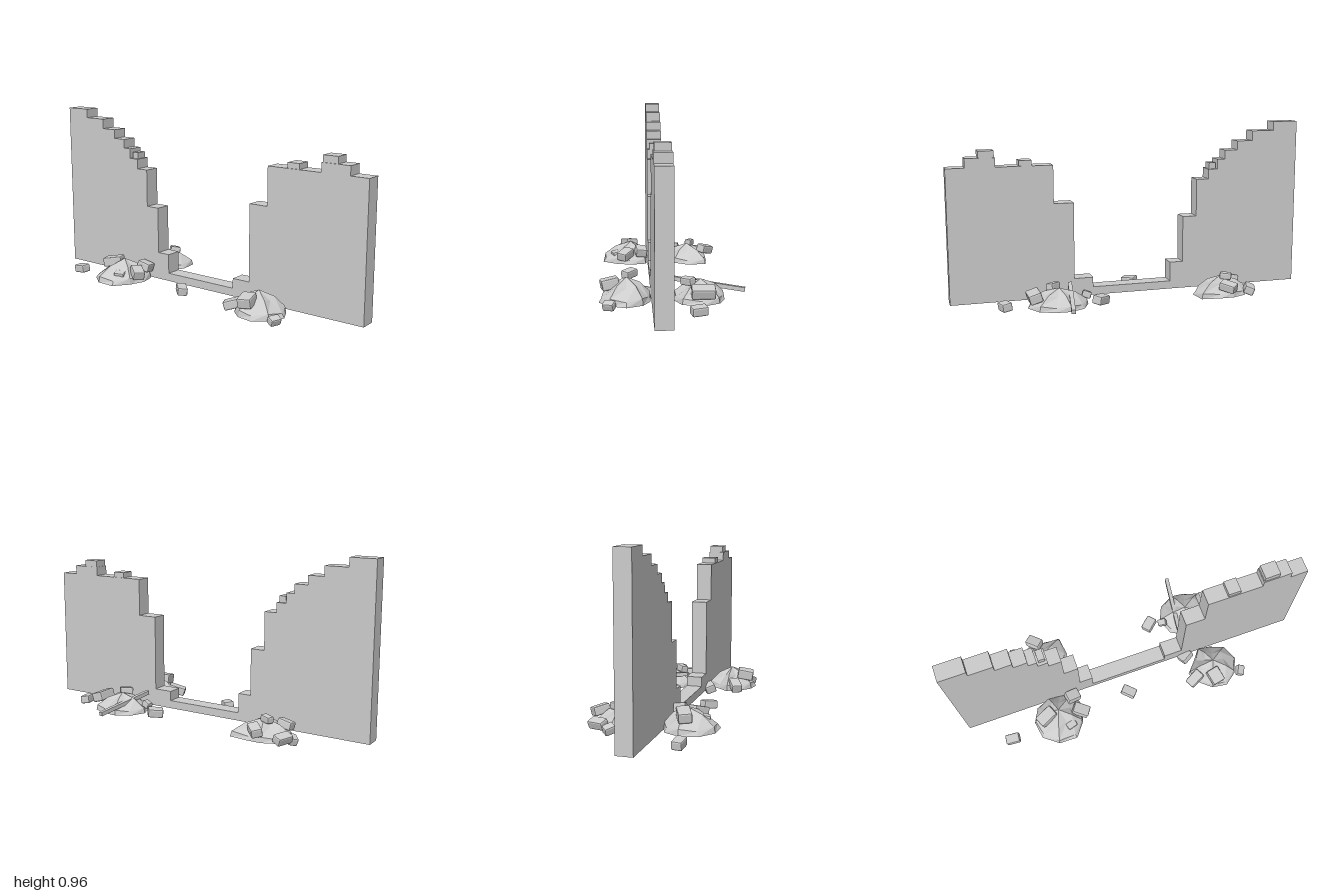
import * as THREE from 'three';
import { RoundedBoxGeometry } from 'three/addons/geometries/RoundedBoxGeometry.js';

const stone = new THREE.MeshStandardMaterial({ color: 0xcccccc, flatShading: true });
const BASE = 0.025;

function add(parent, geometry, name) {
  const mesh = new THREE.Mesh(geometry, stone);
  mesh.name = name;
  parent.add(mesh);
  return mesh;
}

// Stepped wall: each pair is the right end of a step and its height
function wallGeometry() {
  const steps = [
    [-0.855, 0.965], [-0.725, 0.915], [-0.635, 0.86], [-0.56, 0.81], [-0.515, 0.76],
    [-0.46, 0.705], [-0.39, 0.65], [-0.31, 0.44], [-0.235, 0.18], [0.215, 0.07],
    [0.32, 0.125], [0.43, 0.55], [0.74, 0.76], [0.9, 0.81], [1, 0.76],
  ];
  const shape = new THREE.Shape();
  shape.moveTo(-1, BASE);
  let x = -1;
  for (const [end, y] of steps) {
    shape.lineTo(x, y);
    shape.lineTo(end, y);
    x = end;
  }
  shape.lineTo(1, BASE);
  return new THREE.ExtrudeGeometry(shape, { depth: 0.088, bevelEnabled: false }).translate(0, 0, 0.012);
}

// Faceted heap: rings of radii, alternately ridge and hollow, rising to an apex
function heapGeometry([ax, ay, az], radii) {
  const levels = [[1, 0], [0.93, 0.24], [0.5, 0.68]];
  const n = radii.length;
  const positions = [];
  const index = [];
  levels.forEach(([scale, lift], k) => radii.forEach((radius, i) => {
    const ridge = k === 0 ? 0 : (i % 2 ? 0.06 : -0.06);
    const angle = (i / n) * Math.PI * 2;
    const r = radius * (scale + ridge * (k === 1 ? 0.4 : 1));
    positions.push(ax + r * Math.cos(angle), BASE + (ay - BASE) * (lift + ridge * 0.8), az - r * Math.sin(angle));
  }));
  positions.push(ax, ay, az, ax, BASE, az);
  const top = levels.length * n;
  for (let i = 0; i < n; i++) {
    const j = (i + 1) % n;
    for (let k = 0; k < levels.length - 1; k++) {
      const a = k * n + i, b = k * n + j;
      index.push(a, b, b + n, a, b + n, a + n);
    }
    index.push(top - n + i, top - n + j, top, j, i, top + 1);
  }
  const geometry = new THREE.BufferGeometry();
  geometry.setAttribute('position', new THREE.Float32BufferAttribute(positions, 3));
  geometry.setIndex(index);
  geometry.computeVertexNormals();
  return geometry;
}

// Apex and base radii, counter-clockwise from +x; bricks are [x, y, z, length, width, yaw]
const backLeft = {
  name: 'heapBackLeft', apex: [-0.48, 0.125, -0.14],
  radii: [0.16, 0.18, 0.125, 0.125, 0.145, 0.165, 0.153, 0.135, 0.125, 0.13],
  bricks: [
    [-0.625, 0.055, -0.215, 0.095, 0.055, 1.2], [-0.645, 0.036, -0.15, 0.06, 0.05, -0.8],
    [-0.485, 0.088, -0.255, 0.09, 0.06, -0.8], [-0.505, 0.125, -0.16, 0.065, 0.04, -0.4],
    [-0.57, 0.085, -0.07, 0.085, 0.055, -0.1]],
};
const frontLeft = {
  name: 'heapFrontLeft', apex: [-0.48, 0.14, 0.2],
  radii: [0.145, 0.15, 0.115, 0.115, 0.136, 0.152, 0.168, 0.172, 0.175, 0.145],
  bricks: [
    [-0.78, 0.04, 0.25, 0.08, 0.055, -0.1], [-0.555, 0.115, 0.21, 0.11, 0.07, 0.4],
    [-0.435, 0.07, 0.29, 0.06, 0.045, 0.3], [-0.355, 0.085, 0.232, 0.095, 0.065, -0.6],
    [-0.375, 0.1, 0.14, 0.08, 0.065, 0.15], [-0.05, 0.04, 0.21, 0.085, 0.055, -0.75]],
};
const backRight = {
  name: 'heapBackRight', apex: [0.44, 0.125, -0.15],
  radii: [0.17, 0.15, 0.127, 0.132, 0.146, 0.158, 0.153, 0.143, 0.146, 0.17],
  bricks: [
    [0.21, 0.042, -0.148, 0.085, 0.06, 0.7], [0.285, 0.07, -0.122, 0.05, 0.04, -0.2],
    [0.575, 0.09, -0.155, 0.07, 0.12, 0], [0.725, 0.038, -0.122, 0.055, 0.08, 0.25],
    [0.46, 0.118, -0.085, 0.075, 0.045, 0.75]],
};
const frontRight = {
  name: 'heapFrontRight', apex: [0.47, 0.145, 0.225],
  radii: [0.155, 0.14, 0.125, 0.13, 0.108, 0.145, 0.125, 0.131, 0.146, 0.145],
  bricks: [
    [0.345, 0.036, 0.115, 0.08, 0.06, 0.5], [0.345, 0.06, 0.272, 0.1, 0.06, 0.45],
    [0.455, 0.108, 0.31, 0.075, 0.09, 0.2], [0.62, 0.038, 0.31, 0.045, 0.06, -0.4]],
};

// A loose brick leans outwards with the slope of its heap
function addBrick(parent, [x, y, z, length, width, yaw], [ax, , az]) {
  const height = 0.018 + 0.5 * Math.min(length, width);
  const brick = add(parent, new RoundedBoxGeometry(length, height, width, 1, 0.008), 'looseBrick');
  const distance = Math.hypot(x - ax, z - az);
  const lean = distance > 0.2 ? 0.14 : 2.2 * distance;
  const axis = new THREE.Vector3(z - az, 0, ax - x).normalize();
  brick.position.set(x, y, z);
  brick.rotation.y = yaw;
  brick.rotateOnWorldAxis(axis, lean);
}

// Bricks still sitting on the wall: [x, base y, length, height, depth]
const wallBricks = [
  [-0.488, 0.7, 0.037, 0.04, 0.06], [0.58, 0.755, 0.07, 0.035, 0.08], [0.787, 0.805, 0.085, 0.042, 0.08]];

export function createModel() {
  const model = new THREE.Group();
  model.name = 'ruinedWall';

  add(model, wallGeometry(), 'wall');
  for (const [x, y, length, height, depth] of wallBricks) {
    add(model, new THREE.BoxGeometry(length, height, depth), 'wallTopBrick').position.set(x, y + height / 2, 0.055);
  }

  for (const { name, apex, radii, bricks } of [backLeft, frontLeft, backRight, frontRight]) {
    add(model, heapGeometry(apex, radii), name);
    for (const brick of bricks) addBrick(model, brick, apex);
  }

  // Plank leaning across the back right heap
  const start = new THREE.Vector3(0.355, 0.107, -0.02);
  const end = new THREE.Vector3(0.413, 0.058, -0.383);
  const plank = add(model, new THREE.BoxGeometry(0.022, 0.022, start.distanceTo(end)), 'plank');
  plank.position.copy(start).lerp(end, 0.5);
  plank.lookAt(end);

  return model;
}
